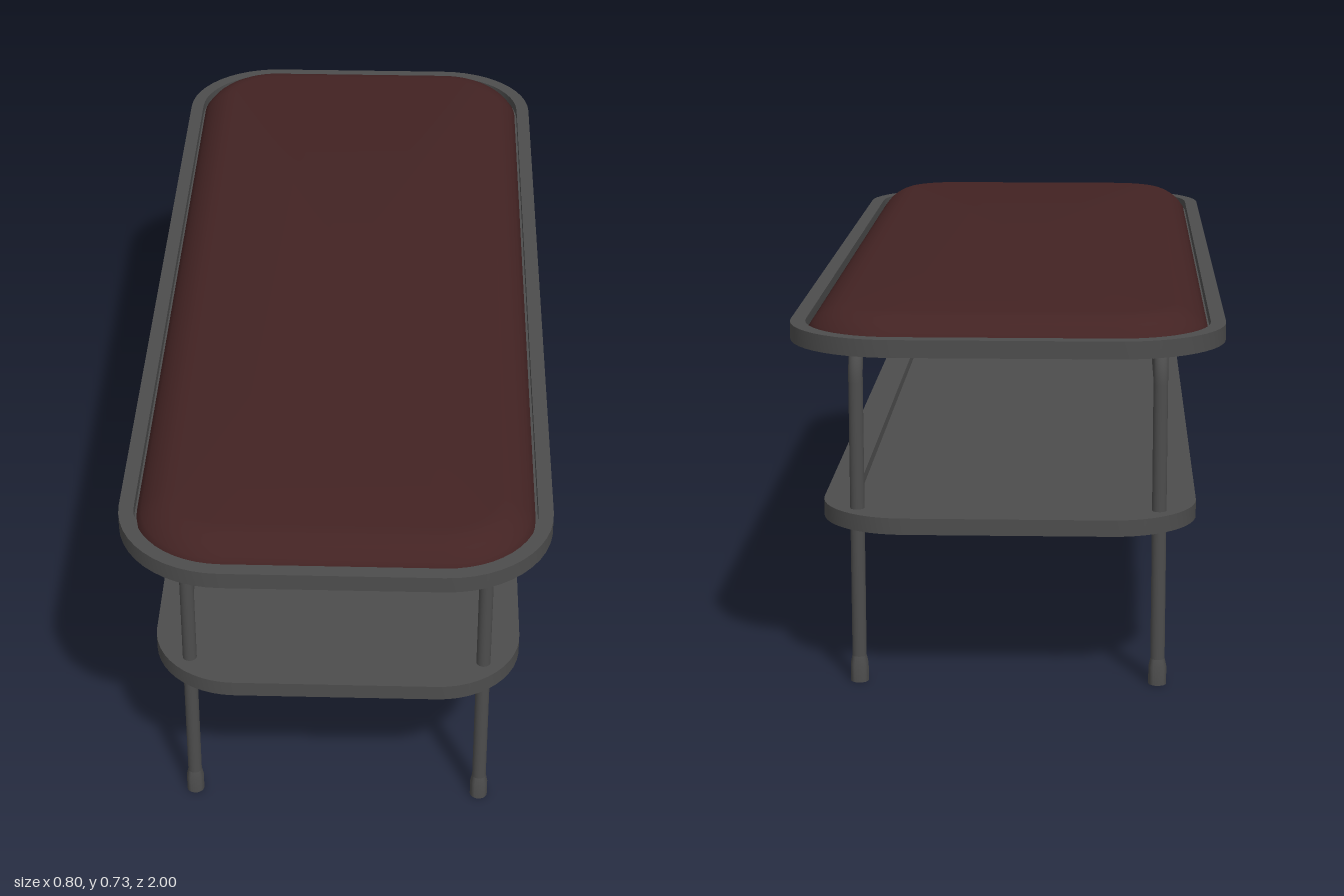
import * as THREE from 'three';
import { toCreasedNormals } from 'three/addons/utils/BufferGeometryUtils.js';

// Outline of a rounded rectangle in the xz plane
function roundedRing(halfX, halfZ, r, y, steps = 12) {
  const ring = [];
  [[1, 1], [-1, 1], [-1, -1], [1, -1]].forEach(([sx, sz], q) => {
    for (let i = 0; i <= steps; i++) {
      const a = (q + i / steps) * Math.PI / 2;
      ring.push([sx * (halfX - r) + r * Math.cos(a), y, sz * (halfZ - r) + r * Math.sin(a)]);
    }
  });
  return ring;
}

// Solid swept around a rounded rectangle; profile is [inset, y] from the bottom cap to the top cap
function roundedSolid(halfX, halfZ, r, profile, crease) {
  const rings = profile.map(([inset, y]) => roundedRing(halfX - inset, halfZ - inset, r - inset, y));
  const n = rings[0].length, last = rings.length - 1;
  const bottom = [0, profile[0][1], 0], top = [0, profile[last][1], 0];
  const pos = [];
  for (let i = 0; i < n; i++) {
    const j = (i + 1) % n;
    pos.push(...bottom, ...rings[0][i], ...rings[0][j]);
    for (let k = 0; k < last; k++) {
      const a = rings[k][i], b = rings[k + 1][i], c = rings[k + 1][j], d = rings[k][j];
      pos.push(...a, ...b, ...c, ...a, ...c, ...d);
    }
    pos.push(...rings[last][i], ...top, ...rings[last][j]);
  }
  const g = new THREE.BufferGeometry();
  g.setAttribute('position', new THREE.Float32BufferAttribute(pos, 3));
  return toCreasedNormals(g, crease);
}

export function createModel() {
  const model = new THREE.Group();
  model.name = 'bench';
  const metal = new THREE.MeshStandardMaterial({ color: 0x4d4d4d });
  metal.name = 'dark grey metal';
  const leather = new THREE.MeshStandardMaterial({ color: 0x432323 });
  leather.name = 'dark red leather';

  const add = (name, geometry, material) => {
    const mesh = new THREE.Mesh(geometry, material);
    mesh.name = name;
    model.add(mesh);
    return mesh;
  };

  // Seat tray with a raised rim
  add('seatFrame', roundedSolid(0.4, 1, 0.2,
    [[0, 0.665], [0, 0.697], [0.028, 0.697], [0.028, 0.677]], 0.6), metal);

  // Padded cushion with soft shoulders
  add('cushion', roundedSolid(0.37, 0.97, 0.17, [
    [0.004, 0.672], [0.003, 0.685], [0.012, 0.697], [0.02, 0.706], [0.031, 0.715],
    [0.045, 0.723], [0.058, 0.728], [0.075, 0.73],
  ], 0.75), leather);

  // Lower shelf with a wide rim around a shallow recess
  add('shelf', roundedSolid(0.353, 0.875, 0.16,
    [[0, 0.307], [0, 0.338], [0.058, 0.338], [0.06, 0.322]], 0.6), metal);

  // Bent tube on each side: two legs joined by a rail under the seat
  const legX = 0.282, legZ = 0.8, railY = 0.668, bend = 0.085, radius = 0.0135;
  const v = (y, z) => new THREE.Vector3(0, y, z);
  const path = new THREE.CurvePath();
  const arc = (s) => {
    const k = bend * 0.4477;
    const pts = [v(railY - bend, s * legZ), v(railY - k, s * legZ),
      v(railY, s * (legZ - k)), v(railY, s * (legZ - bend))];
    return new THREE.CubicBezierCurve3(...(s > 0 ? pts : pts.reverse()));
  };
  path.add(new THREE.LineCurve3(v(0.01, legZ), v(railY - bend, legZ)));
  path.add(arc(1));
  path.add(new THREE.LineCurve3(v(railY, legZ - bend), v(railY, bend - legZ)));
  path.add(arc(-1));
  path.add(new THREE.LineCurve3(v(railY - bend, -legZ), v(0.01, -legZ)));
  const tube = new THREE.TubeGeometry(path, 200, radius, 20);

  // Foot cap, tapering up to the tube
  const foot = toCreasedNormals(new THREE.LatheGeometry([
    [0, 0], [0.017, 0], [0.017, 0.034], [0.0136, 0.05],
  ].map(([x, y]) => new THREE.Vector2(x, y)), 24), 0.6);

  for (const [side, sx] of [['left', 1], ['right', -1]]) {
    add(side + 'LegTube', tube, metal).position.x = sx * legX;
    for (const [end, sz] of [['Front', 1], ['Back', -1]]) {
      add(side + end + 'Foot', foot, metal).position.set(sx * legX, 0, sz * legZ);
    }
  }
  return model;
}
